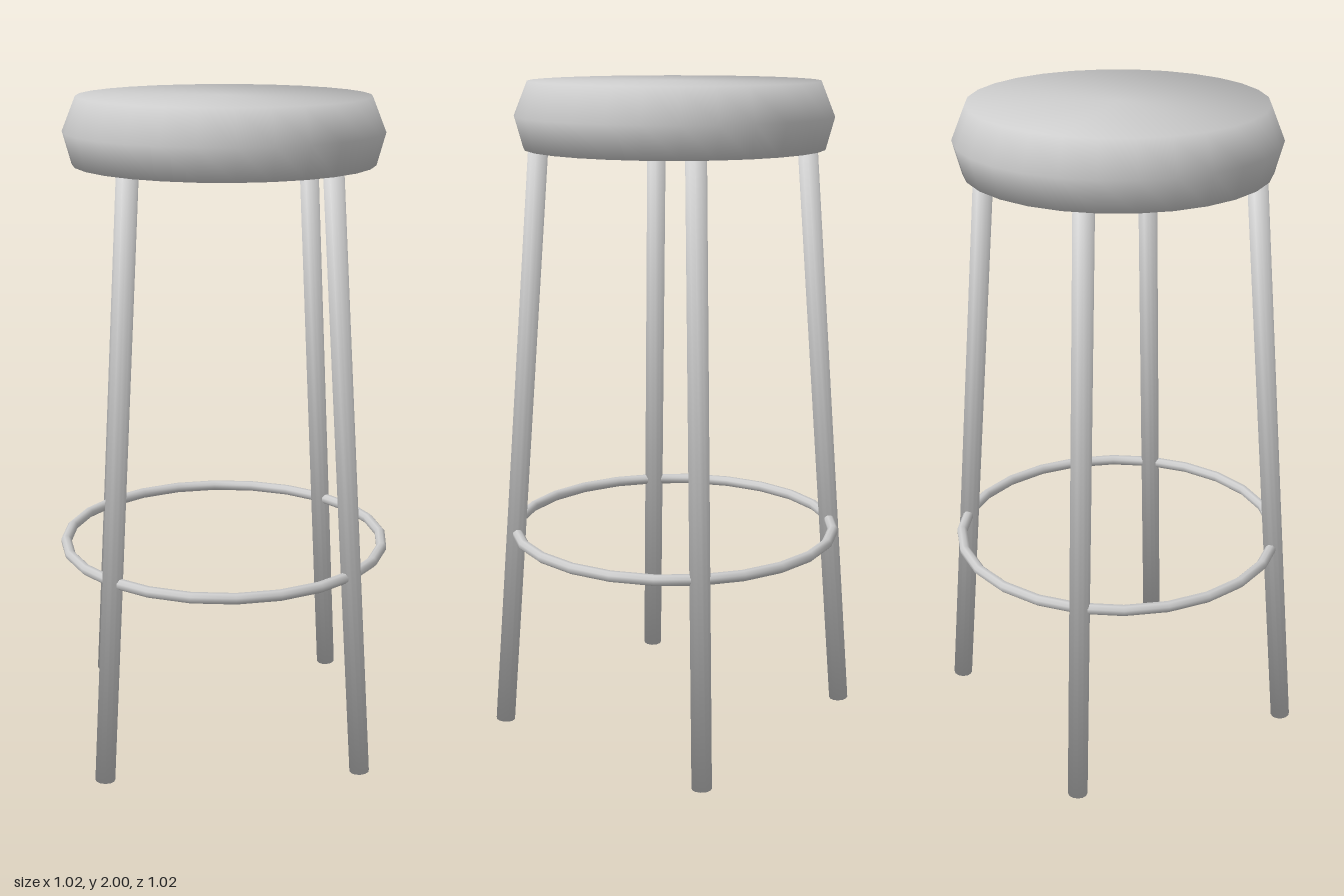
import * as THREE from 'three';

const metal = new THREE.MeshStandardMaterial({ color: 0xcccccc });
metal.name = 'pale grey';

// Spins a [radius, height] profile, with normals averaged evenly at every corner
function spin(profile, segments, closed = false) {
  const pts = profile.map(([r, y]) => new THREE.Vector2(r, y));
  const geo = new THREE.LatheGeometry(pts, segments);
  const last = pts.length - 1;
  const edge = (i) => {
    if (closed) i = (i + last) % last;
    if (i < 0 || i >= last) return new THREE.Vector2();
    const d = pts[i + 1].clone().sub(pts[i]).normalize();
    return new THREE.Vector2(d.y, -d.x);
  };
  const corner = pts.map((_, i) => edge(i - 1).add(edge(i)).normalize());
  for (let s = 0; s <= segments; s++) {
    const a = (s / segments) * Math.PI * 2;
    corner.forEach((n, j) =>
      geo.attributes.normal.setXYZ(s * pts.length + j, n.x * Math.sin(a), n.y, n.x * Math.cos(a)));
  }
  return geo;
}

function part(name, geometry) {
  const mesh = new THREE.Mesh(geometry, metal);
  mesh.name = name;
  return mesh;
}

export function createModel() {
  const stool = new THREE.Group();
  stool.name = 'barStool';

  // Round padded seat, widest at mid height
  stool.add(part('seat', spin([[0, 1.805], [0.447, 1.805], [0.473, 1.9], [0.432, 2], [0, 2]], 28)));

  // Four splayed legs
  const legRadius = 0.03;
  const up = new THREE.Vector3(0, 1, 0);
  for (const [sx, sz, name] of [[1, 1, 'frontLeftLeg'], [-1, 1, 'frontRightLeg'],
    [1, -1, 'backLeftLeg'], [-1, -1, 'backRightLeg']]) {
    const foot = new THREE.Vector3(0.387 * sx, 0.003, 0.387 * sz);
    const axis = new THREE.Vector3(0.285 * sx, 1.812, 0.285 * sz).sub(foot);
    const length = axis.length();
    const leg = part(name, spin([[0, 0], [legRadius, 0], [legRadius, length], [0, length]], 12));
    leg.position.copy(foot);
    leg.quaternion.setFromUnitVectors(up, axis.normalize());
    stool.add(leg);
  }

  // Footrest ring with an eight-sided section, starting on its inner face
  const section = [];
  for (let i = 0; i <= 8; i++) {
    const a = ((i + 0.5) / 8) * Math.PI * 2 + Math.PI;
    section.push([0.497 + 0.0165 * Math.cos(a), 0.63 + 0.0165 * Math.sin(a)]);
  }
  stool.add(part('footrestRing', spin(section, 24, true)));

  return stool;
}
